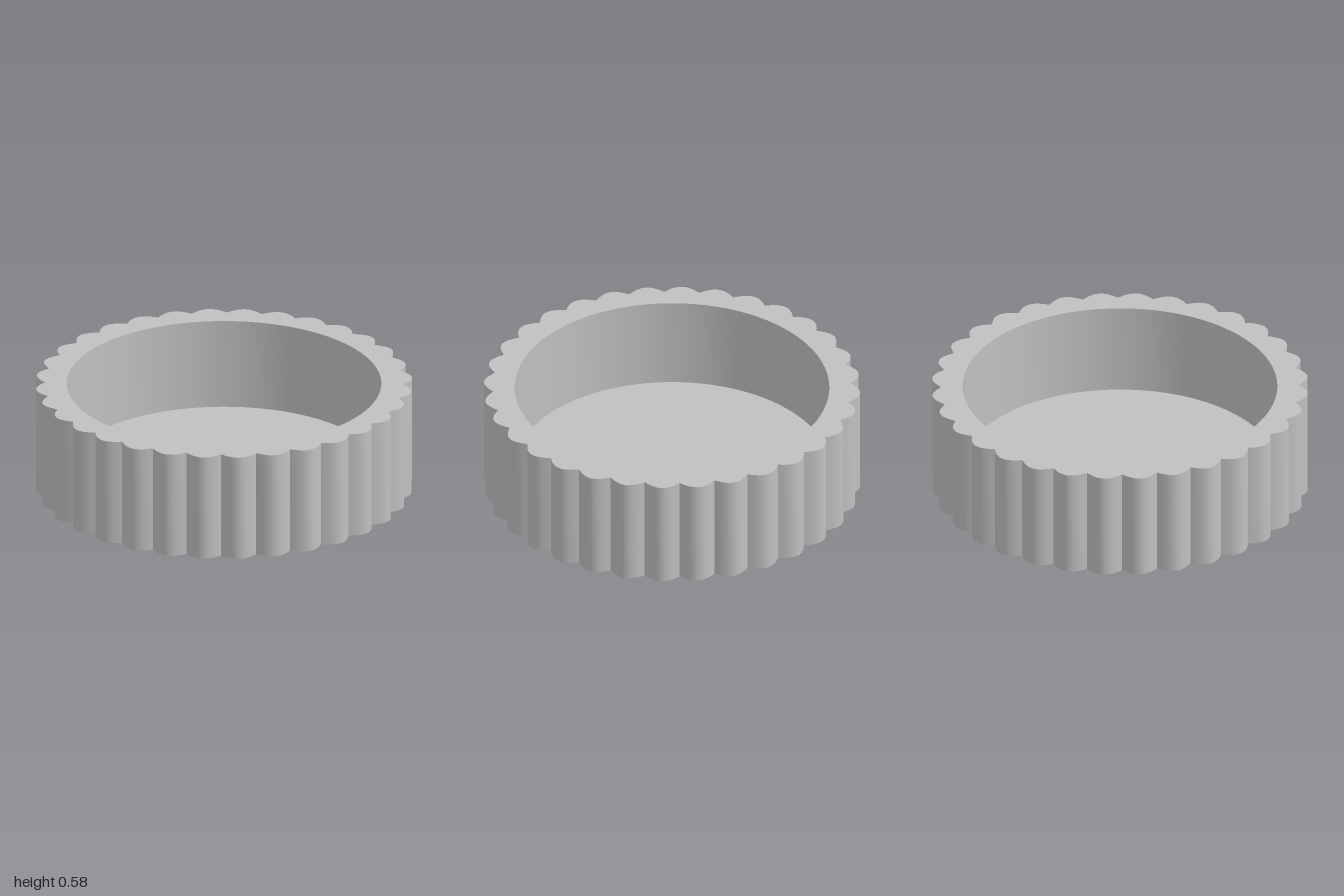
import * as THREE from 'three';
import { toCreasedNormals } from 'three/addons/utils/BufferGeometryUtils.js';

const LOBES = 32, STEPS = 14;
const HEIGHT = 0.585, FLOOR = 0.09;
const VALLEY = 0.95, BULGE = 0.05, INNER = 0.835;
const INNER_SEGMENTS = 128;

// closed ring of points whose radius follows a rule
function ring(count, radiusAt) {
  return Array.from({ length: count }, (_, i) => {
    const a = (i / count) * Math.PI * 2;
    const r = radiusAt(a);
    return new THREE.Vector2(r * Math.cos(a), r * Math.sin(a));
  });
}

export function createModel() {
  const group = new THREE.Group();
  group.name = 'scallopedDish';
  const grey = new THREE.MeshStandardMaterial({ color: 0xc0c0c0 });
  grey.name = 'grey';

  const add = (name, geometry, y = 0) => {
    const mesh = new THREE.Mesh(geometry, grey);
    mesh.name = name;
    mesh.position.y = y;
    group.add(mesh);
  };

  // fluted wall: rounded lobes meeting in sharp valleys, with a round bore
  const outline = new THREE.Shape(
    ring(LOBES * STEPS, a => VALLEY + BULGE * Math.abs(Math.cos(a * LOBES / 2))));
  outline.holes.push(new THREE.Path(ring(INNER_SEGMENTS, () => INNER)));
  const wall = new THREE.ExtrudeGeometry(outline, { depth: HEIGHT, bevelEnabled: false });
  wall.rotateX(-Math.PI / 2);
  add('flutedWall', toCreasedNormals(wall, Math.PI / 6));

  // inside floor and flat underside
  add('floor', new THREE.CircleGeometry(INNER, INNER_SEGMENTS).rotateX(-Math.PI / 2), FLOOR);
  add('underside', new THREE.CircleGeometry(INNER, INNER_SEGMENTS).rotateX(Math.PI / 2));

  return group;
}
